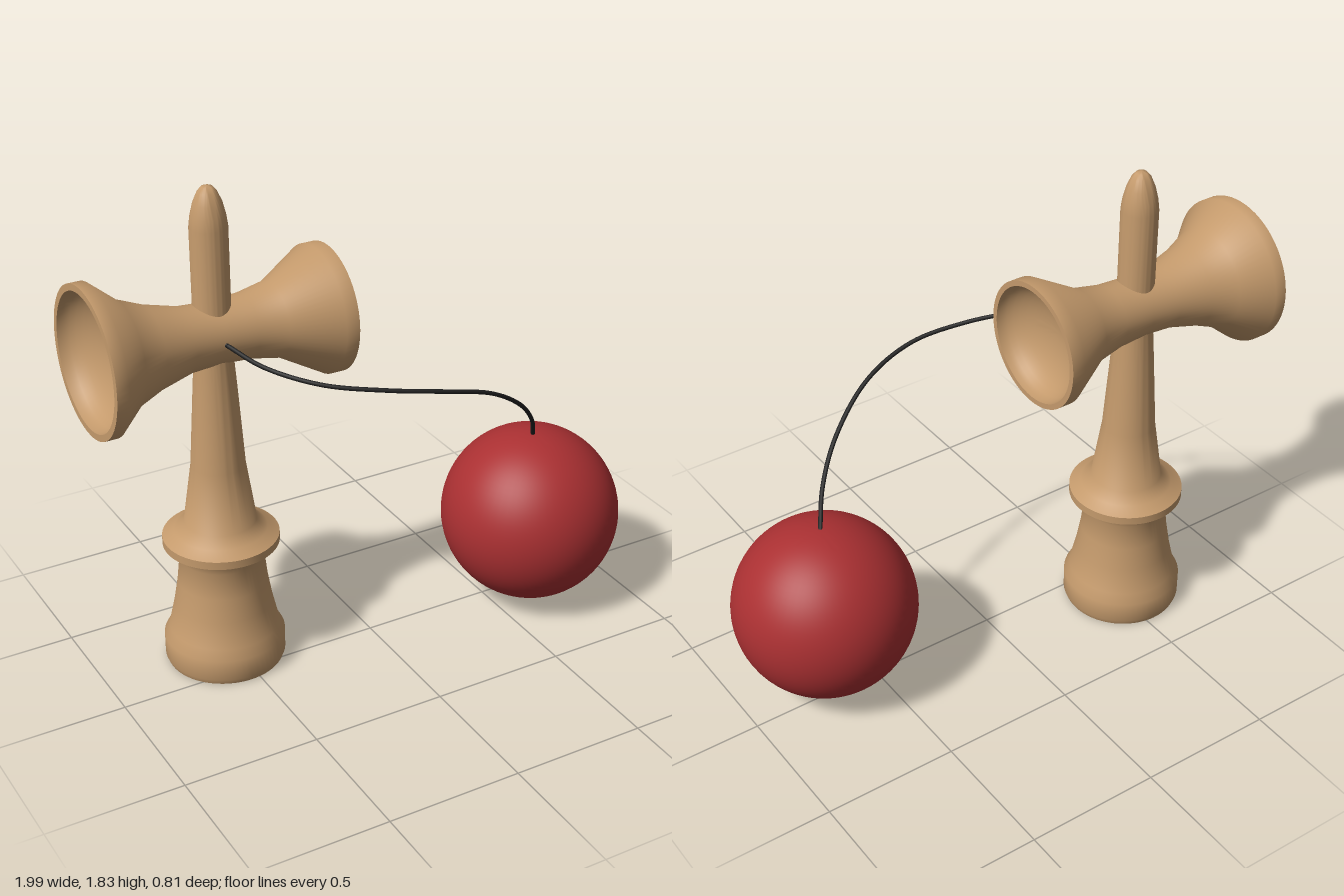
import * as THREE from 'three';
import { toCreasedNormals } from 'three/addons/utils/BufferGeometryUtils.js';

const wood = new THREE.MeshStandardMaterial({ color: 0xc49a6c });
wood.name = 'wood';
const red = new THREE.MeshStandardMaterial({ color: 0xaa3032 });
red.name = 'red paint';
const black = new THREE.MeshStandardMaterial({ color: 0x222222 });
black.name = 'black cord';

const AXIS_X = -0.535, AXIS_Z = -0.14, CROSS_Y = 1.302;

// Turned solid from [radius, height] pairs
function turned(name, profile, material, segments = 64) {
  const points = profile.map(([r, y]) => new THREE.Vector2(r, y));
  const lathe = new THREE.LatheGeometry(points, segments);
  const mesh = new THREE.Mesh(toCreasedNormals(lathe, 0.75), material);
  mesh.name = name;
  return mesh;
}

// Hollow bowl, from its deepest point out to its rim; dir points into the wood
function bowl(radius, rimY, depth, dir, steps = 10) {
  const profile = [];
  for (let i = 0; i <= steps; i++) {
    const a = (i / steps) * Math.PI / 2;
    profile.push([radius * Math.sin(a), rimY + dir * depth * Math.cos(a)]);
  }
  return profile;
}

export function createModel() {
  const model = new THREE.Group();
  model.name = 'cupAndBallToy';

  // Handle: hollow base, collar, tapering stem and spike
  const handle = turned('handle', [
    ...bowl(0.18, 0.005, 0.1, 1),
    [0.212, 0.005], [0.22, 0.025], [0.22, 0.105], [0.2, 0.142], [0.178, 0.24],
    [0.163, 0.33], [0.152, 0.43], [0.172, 0.475], [0.21, 0.487], [0.21, 0.517],
    [0.168, 0.54], [0.13, 0.575], [0.097, 0.8], [0.077, 1.1], [0.066, 1.25],
    [0.066, 1.69], [0.061, 1.73], [0.05, 1.775], [0.034, 1.813], [0.02, 1.83], [0, 1.836],
  ], wood);
  handle.position.set(AXIS_X, 0, AXIS_Z);
  model.add(handle);

  // Crosspiece: a large cup on the right and a small cup on the left
  const cross = turned('crosspiece', [
    ...bowl(0.243, -1, 0.13, 1),
    [0.267, -1], [0.267, -0.955], [0.186, -0.86], [0.148, -0.767], [0.116, -0.645],
    [0.109, -0.535], [0.116, -0.414], [0.137, -0.307], [0.232, -0.142], [0.232, -0.092],
    ...bowl(0.212, -0.092, 0.12, -1).reverse(),
  ], wood);
  cross.rotation.z = -Math.PI / 2;
  cross.position.set(0, CROSS_Y, AXIS_Z);
  model.add(cross);

  // Ball with a round socket in its underside
  const R = 0.336, cut = Math.asin(0.122 / R);
  const ballProfile = [[0, -0.14], [0.122, -0.14], [0.122, -R * Math.cos(cut)]];
  for (let i = 1; i <= 40; i++) {
    const a = cut + (Math.PI - cut) * i / 40;
    ballProfile.push([i === 40 ? 0 : R * Math.sin(a), -R * Math.cos(a)]);
  }
  const ball = turned('ball', ballProfile, red);
  ball.position.set(0.658, 0.365, 0.068);
  model.add(ball);

  // Cord from the crosspiece to the top of the ball
  const path = new THREE.CatmullRomCurve3([
    [-0.535, 1.3, -0.035], [-0.45, 1.24, 0.065], [-0.3, 1.193, 0.195], [-0.1, 1.163, 0.29],
    [0.1, 1.128, 0.335], [0.3, 1.06, 0.31], [0.48, 0.935, 0.235], [0.59, 0.808, 0.155],
    [0.658, 0.685, 0.07],
  ].map((p) => new THREE.Vector3(...p)));
  const cord = new THREE.Mesh(new THREE.TubeGeometry(path, 96, 0.008, 8), black);
  cord.name = 'cord';
  model.add(cord);

  // Knot where the cord leaves the crosspiece
  const knot = new THREE.Mesh(new THREE.SphereGeometry(0.009, 12, 8), black);
  knot.name = 'cordKnot';
  knot.position.copy(path.getPoint(0));
  model.add(knot);

  return model;
}
